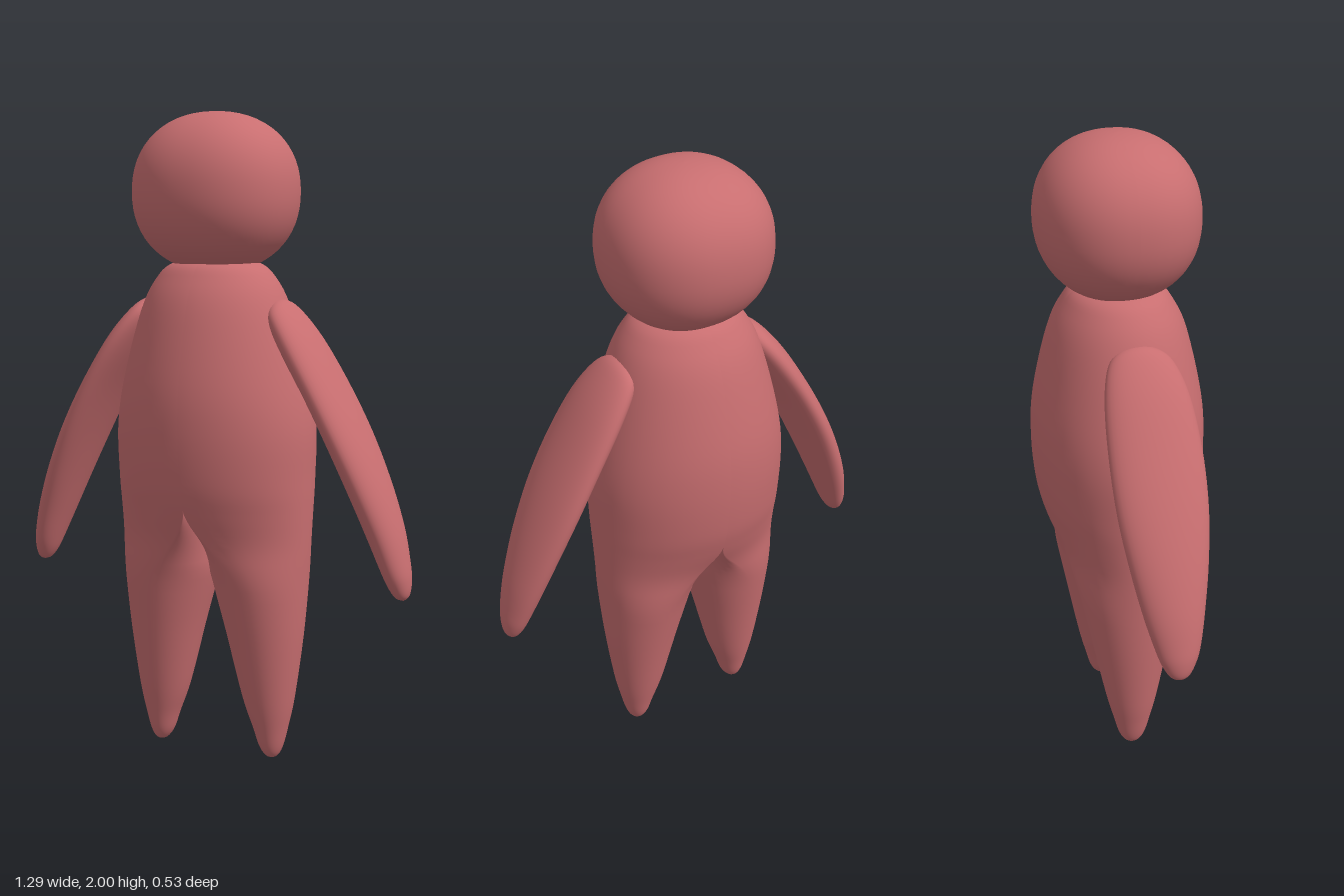
import * as THREE from 'three';

const material = new THREE.MeshStandardMaterial({ color: 0xc86e70, roughness: 0.8 });
const SIDES = 40;

// Smoothly resamples rows of five numbers along a spline.
function resample(rows, count) {
  const a = new THREE.CatmullRomCurve3(rows.map(r => new THREE.Vector3(r[0], r[1], r[2])), false, 'catmullrom');
  const b = new THREE.CatmullRomCurve3(rows.map(r => new THREE.Vector3(r[3], r[4] ?? 0, 0)), false, 'catmullrom');
  return Array.from({ length: count + 1 }, (_, i) => {
    const p = a.getPoint(i / count), q = b.getPoint(i / count);
    return [p.x, p.y, p.z, q.x, q.y];
  });
}

// Skins closed rings of points, listed from top to bottom.
function loft(rings) {
  const index = [];
  for (let i = 0; i < rings.length - 1; i++) {
    for (let j = 0; j < SIDES; j++) {
      const k = (j + 1) % SIDES;
      const a = i * SIDES + j, b = i * SIDES + k;
      index.push(a, b, a + SIDES, b, b + SIDES, a + SIDES);
    }
  }
  const geometry = new THREE.BufferGeometry().setFromPoints(rings.flat());
  geometry.setIndex(index);
  geometry.computeVertexNormals();
  return geometry;
}

const ring = point => Array.from({ length: SIDES }, (_, j) => {
  const t = (j / SIDES) * Math.PI * 2;
  return point(Math.cos(t), Math.sin(t));
});

// One half of the torso flowing into one leg: height, inner x, outer x, half depth
const BODY = [
  [1.57, 0, 0, 0], [1.55, 0, 0.13, 0.115], [1.5, 0, 0.19, 0.165], [1.4, 0, 0.238, 0.21],
  [1.2, 0, 0.292, 0.254], [1.05, 0, 0.317, 0.263], [0.9, 0, 0.317, 0.25], [0.8, 0, 0.315, 0.225],
  [0.7, 0, 0.311, 0.187], [0.6, 0, 0.305, 0.165], [0.4, 0.05, 0.29, 0.125], [0.2, 0.1, 0.265, 0.085],
  [0.1, 0.135, 0.245, 0.06], [0.04, 0.155, 0.23, 0.043], [0.01, 0.175, 0.215, 0.024], [0, 0.195, 0.195, 0],
];

function bodyHalf(side) {
  const rings = resample(BODY, 75).map(([y, inside, outer, depth]) => {
    const inner = Math.max(0, inside);
    // 0 gives a half ellipse against the middle plane, 1 gives a full leg ellipse
    const legness = 1 - THREE.MathUtils.smoothstep(y, 0.55, 0.82);
    const mid = (inner + outer) / 2, radius = (outer - inner) / 2;
    return ring((c, s) => {
      const x = THREE.MathUtils.lerp(outer * Math.max(0, c), mid + radius * c, legness);
      return new THREE.Vector3(side * x, Math.max(0, y), side * depth * s);
    });
  });
  const geometry = loft(rings);
  // Level the normals where the halves meet, so the seam does not show
  const p = geometry.attributes.position, n = geometry.attributes.normal;
  const v = new THREE.Vector3();
  for (let i = 0; i < p.count; i++) {
    if (Math.abs(p.getX(i)) < 1e-4 && p.getY(i) > 0.8) {
      v.fromBufferAttribute(n, i).setX(0).normalize();
      n.setXYZ(i, v.x, v.y, v.z);
    }
  }
  return geometry;
}

// Flattened arm: centre x, centre y, centre z, half thickness, half width
const ARM = [
  [0.19, 1.435, 0.005, 0, 0], [0.205, 1.42, 0.005, 0.03, 0.06], [0.235, 1.385, 0.008, 0.044, 0.1],
  [0.295, 1.3, 0.012, 0.052, 0.127], [0.375, 1.17, 0.014, 0.053, 0.138], [0.45, 1.03, 0.015, 0.055, 0.135],
  [0.515, 0.89, 0.016, 0.055, 0.117], [0.567, 0.76, 0.017, 0.051, 0.092], [0.6, 0.66, 0.02, 0.042, 0.068],
  [0.614, 0.61, 0.02, 0.034, 0.05], [0.623, 0.575, 0.02, 0.02, 0.028], [0.625, 0.562, 0.02, 0, 0],
];

function armGeometry(side) {
  const rows = resample(ARM, 55);
  return loft(rows.map(([x, y, z, thick, width], i) => {
    const a = rows[Math.max(0, i - 1)], b = rows[Math.min(rows.length - 1, i + 1)];
    const across = new THREE.Vector2(a[1] - b[1], b[0] - a[0]).normalize();
    return ring((c, s) => new THREE.Vector3(
      side * (x + across.x * thick * c), y + across.y * thick * c, z + side * width * s));
  }));
}

// Slightly squared ball
function headGeometry() {
  const geometry = new THREE.SphereGeometry(1, 48, 32);
  const p = geometry.attributes.position, e = 2.2;
  for (let i = 0; i < p.count; i++) {
    const x = p.getX(i), y = p.getY(i), z = p.getZ(i);
    const k = (Math.abs(x) ** e + Math.abs(y) ** e + Math.abs(z) ** e) ** (-1 / e);
    p.setXYZ(i, x * k * 0.253, y * k * 0.24, z * k * 0.241);
  }
  geometry.computeVertexNormals();
  return geometry;
}

export function createModel() {
  const model = new THREE.Group();
  model.name = 'figure';
  const add = (name, geometry) => {
    const mesh = new THREE.Mesh(geometry, material);
    mesh.name = name;
    model.add(mesh);
    return mesh;
  };

  add('head', headGeometry()).position.y = 1.76;
  for (const [side, word] of [[1, 'left'], [-1, 'right']]) {
    add(word + 'BodyAndLeg', bodyHalf(side));
    add(word + 'Arm', armGeometry(side));
  }
  return model;
}
